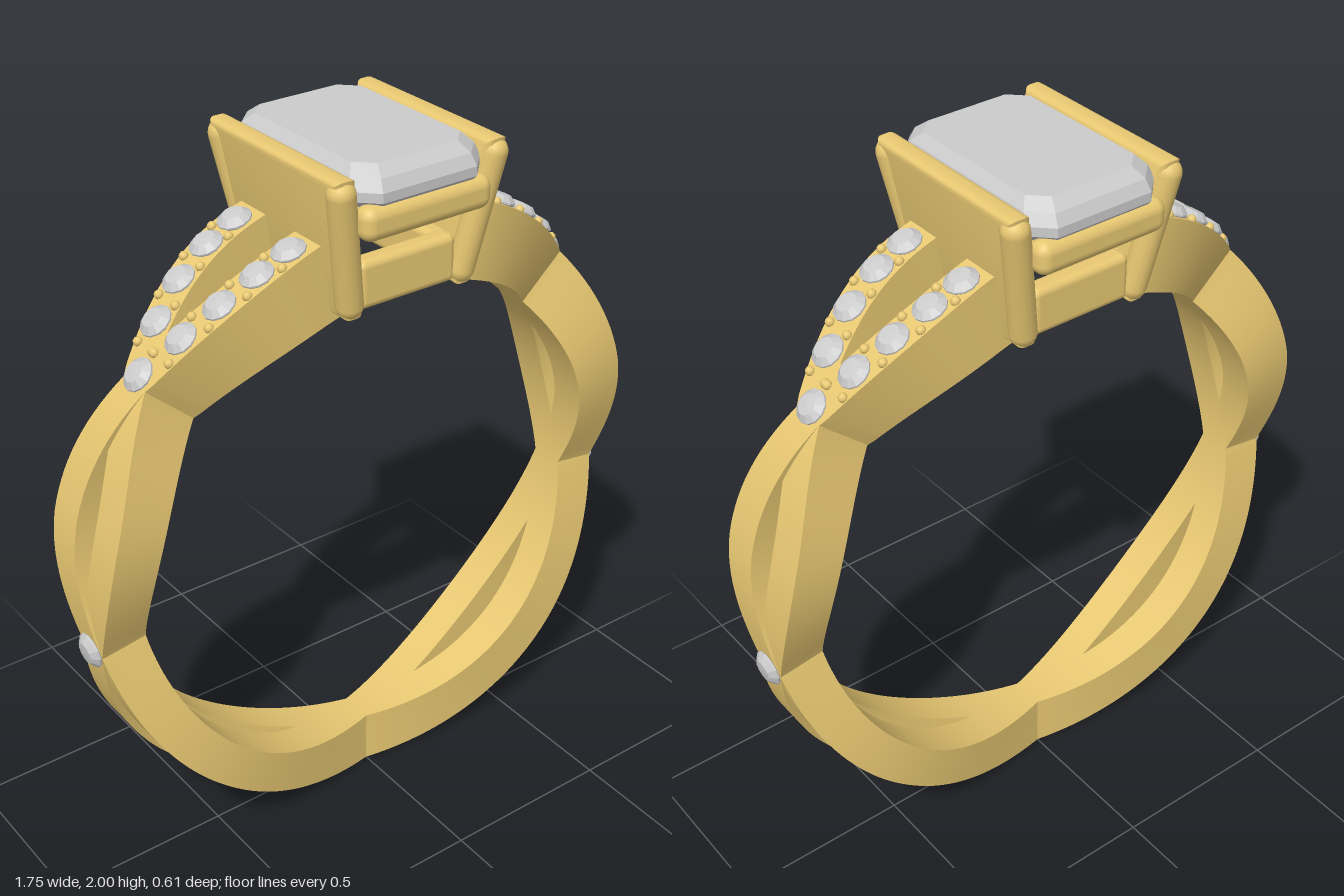
import * as THREE from 'three';
import { toCreasedNormals } from 'three/addons/utils/BufferGeometryUtils.js';
import { RoundedBoxGeometry } from 'three/addons/geometries/RoundedBoxGeometry.js';
import { ConvexGeometry } from 'three/addons/geometries/ConvexGeometry.js';

const gold = new THREE.MeshStandardMaterial({ color: 0xe8c872 });
const stone = new THREE.MeshStandardMaterial({ color: 0xcccccc, flatShading: true });

const CY = 0.885, INNER = 0.725;   // finger hole centre height and radius
const PINCH = 82, FORK = 132, END = 167;   // degrees from the bottom of the band

function add(parent, name, geometry, material, x = 0, y = 0, z = 0) {
  const mesh = new THREE.Mesh(geometry, material);
  mesh.name = name;
  mesh.position.set(x, y, z);
  parent.add(mesh);
  return mesh;
}

// Outer radius of the band, eased between a few stations
const stations = [[0, 0.885], [45, 0.87], [PINCH, 0.856], [107, 0.883], [FORK, 0.9], [END, 0.938]];
function outerRadius(deg) {
  const a = Math.abs(deg);
  let i = 0;
  while (i < stations.length - 2 && a > stations[i + 1][0]) i++;
  const [a0, r0] = stations[i], [a1, r1] = stations[i + 1];
  return THREE.MathUtils.lerp(r0, r1, THREE.MathUtils.smoothstep(a, a0, a1) * 0.5 + 0.5 * (a - a0) / (a1 - a0));
}

// Sideways swing of a strand: two crossings, then the open fork
function swing(deg) {
  const a = Math.abs(deg), s = Math.sign(deg);
  if (a < PINCH) return s * 0.085 * Math.sin(Math.PI * a / PINCH);
  if (a < FORK) return -s * 0.08 * Math.sin(Math.PI * (a - PINCH) / (FORK - PINCH));
  return s * 0.117 * Math.sin(Math.min(1, (a - FORK) / 30) * Math.PI / 2);
}

function onBand(deg, r, z) {
  const t = THREE.MathUtils.degToRad(deg);
  return new THREE.Vector3(r * Math.sin(t), CY - r * Math.cos(t), z);
}

// Rectangular section swept round the finger
function strandGeometry(side) {
  const pos = [], index = [], n = 180;
  for (let i = 0; i <= n; i++) {
    const deg = -END + 2 * END * i / n;
    const z = side * swing(deg), a = Math.abs(deg);
    const half = a < FORK ? 0.05 + 0.05 * Math.abs(z) : 0.054;
    const recess = a < FORK && z * deg < 0 ? 0.3 * Math.abs(z) : 0;
    const out = outerRadius(deg) - recess;
    for (const [r, w] of [[INNER, -half], [INNER, half], [out, half], [out, -half]])
      pos.push(...onBand(deg, r, z + w).toArray());
  }
  for (let i = 0; i < n; i++) {
    for (let j = 0; j < 4; j++) {
      const a = i * 4 + j, b = i * 4 + (j + 1) % 4;
      index.push(a, b, b + 4, a, b + 4, a + 4);
    }
  }
  const g = new THREE.BufferGeometry();
  g.setAttribute('position', new THREE.Float32BufferAttribute(pos, 3));
  g.setIndex(index);
  return toCreasedNormals(g, 0.5);
}

// Round brilliant, pointing along +y
function brilliantGeometry(r) {
  const profile = [[0, -0.045], [r, 0], [r, 0.005], [r * 0.62, 0.02], [0, 0.022]];
  return new THREE.LatheGeometry(profile.map(p => new THREE.Vector2(...p)), 12);
}

// Step-cut centre stone from cut-corner rectangles
function centreStoneGeometry() {
  const pts = [];
  for (const [y, x, z, c] of [
    [2, 0.165, 0.245, 0.045], [1.975, 0.188, 0.278, 0.052], [1.945, 0.2, 0.295, 0.058],
    [1.92, 0.2, 0.295, 0.058], [1.83, 0.135, 0.225, 0.04], [1.74, 0.008, 0.1, 0.004]]) {
    for (const sx of [-1, 1]) for (const sz of [-1, 1])
      pts.push(new THREE.Vector3(sx * x, y, sz * (z - c)), new THREE.Vector3(sx * (x - c), y, sz * z));
  }
  return new ConvexGeometry(pts);
}

// Tilted side wall of the head
function wallGeometry() {
  const s = new THREE.Shape([[-0.205, 1.62], [0.205, 1.62], [0.25, 1.97], [-0.25, 1.97]]
    .map(p => new THREE.Vector2(...p)));
  const g = new THREE.ExtrudeGeometry(s, {
    depth: 0.024, bevelThickness: 0.02, bevelSize: 0.02, bevelSegments: 4 });
  g.translate(0, 0, -0.012);
  g.rotateY(Math.PI / 2);
  const p = g.attributes.position;
  for (let i = 0; i < p.count; i++) p.setX(i, p.getX(i) + 0.172 + (p.getY(i) - 1.6) * 0.15);
  return toCreasedNormals(g, 0.6);
}

const UP = new THREE.Vector3(0, 1, 0);

export function createModel() {
  const ring = new THREE.Group();
  ring.name = 'ring';

  // Twisted band
  for (const side of [1, -1]) add(ring, 'bandStrand', strandGeometry(side), gold);

  // Accent stones with their bead prongs
  const small = brilliantGeometry(0.046), large = brilliantGeometry(0.05);
  const bead = new THREE.SphereGeometry(0.013, 10, 8);
  const accents = [133.5, 141.7, 149, 156, 162];
  function accent(deg, z, geo) {
    const p = onBand(deg, outerRadius(deg) + 0.003, z);
    const m = add(ring, 'accentStone', geo, stone, p.x, p.y, p.z);
    m.quaternion.setFromUnitVectors(UP, onBand(deg, 1, 0).sub(new THREE.Vector3(0, CY, 0)));
  }
  for (const s of [1, -1]) {
    accent(s * PINCH, 0, large);
    accents.forEach((deg, i) => {
      for (const side of i ? [1, -1] : [1]) {
        const z = i ? side * Math.abs(swing(deg)) : 0;
        accent(s * deg, z, small);
        if (i === 0) continue;
        const mid = (deg + accents[i - 1]) / 2, zc = side * Math.abs(swing(mid));
        for (const w of [-0.038, 0.038]) {
          const b = onBand(s * mid, outerRadius(mid) + 0.002, zc + w);
          add(ring, 'beadProng', bead, gold, b.x, b.y, b.z);
        }
      }
    });
  }

  // Head: walls with corner prongs, rails and open base gallery
  const head = new THREE.Group();
  head.name = 'head';
  ring.add(head);
  const wall = wallGeometry();
  for (const s of [1, -1]) {
    const half = new THREE.Group();
    half.name = 'headSide';
    half.rotation.y = s > 0 ? 0 : Math.PI;
    head.add(half);
    add(half, 'sideWall', wall, gold);
    for (const k of [1, -1]) {
      const a = new THREE.Vector3(0.175, 1.635, k * 0.205), b = new THREE.Vector3(0.231, 1.95, k * 0.25);
      const mid = a.clone().add(b).multiplyScalar(0.5);
      const prong = add(half, 'cornerProng', new THREE.CapsuleGeometry(0.037, a.distanceTo(b), 6, 16),
        gold, mid.x, mid.y, mid.z);
      prong.quaternion.setFromUnitVectors(UP, b.sub(a).normalize());
    }
    add(half, 'endRail', new RoundedBoxGeometry(0.39, 0.09, 0.07, 4, 0.032), gold, 0, 1.87, 0.27);
    add(half, 'sideRail', new RoundedBoxGeometry(0.06, 0.08, 0.5, 3, 0.025), gold, 0.185, 1.87, 0);
    add(half, 'galleryEnd', new RoundedBoxGeometry(0.3, 0.13, 0.06, 3, 0.02), gold, 0, 1.675, 0.19);
    add(half, 'gallerySide', new RoundedBoxGeometry(0.06, 0.12, 0.4, 3, 0.02), gold, 0.14, 1.67, 0);
  }

  // Centre stone
  add(ring, 'centreStone', centreStoneGeometry(), stone);
  return ring;
}
